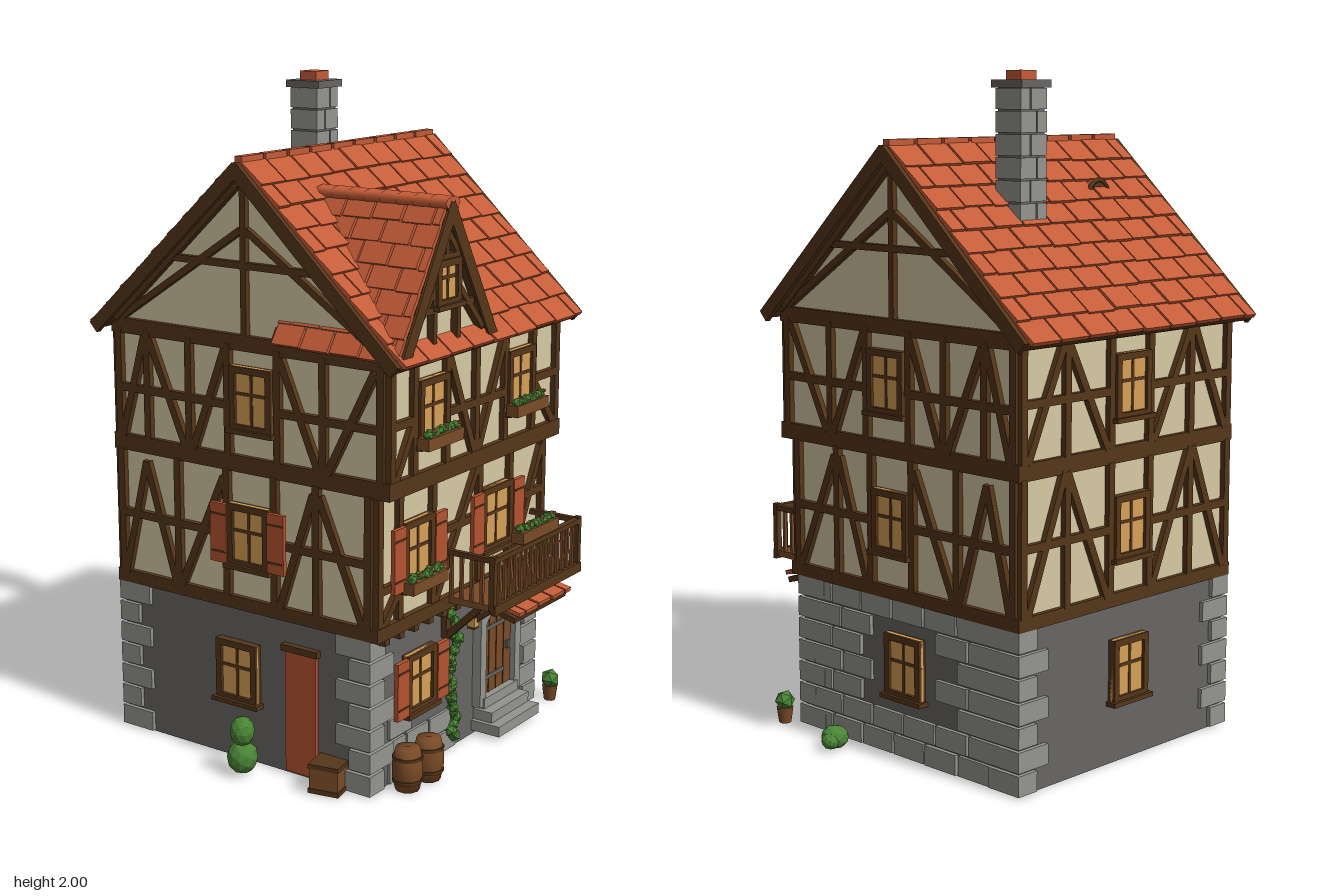
import * as THREE from 'three';
import { mergeGeometries } from 'three/addons/utils/BufferGeometryUtils.js';

const mat = (name, color) => Object.assign(new THREE.MeshStandardMaterial({ color }), { name });
const M = {
  tile: mat('terracotta', 0xc45c38), plaster: mat('plaster', 0xd6c9a3), timber: mat('darkTimber', 0x553619),
  stone: mat('lightStone', 0x94948f), mortar: mat('darkStone', 0x686664), glass: mat('warmGlass', 0xd6a055),
  wood: mat('wood', 0x7a4b27), leaf: mat('leaf', 0x4a8535), shutter: mat('shutterRed', 0xb5532f),
};
let seed = 7;
const rnd = () => (seed = (seed * 16807) % 2147483647) / 2147483647;

function put(parent, name, m, geo, x = 0, y = 0, z = 0, rx = 0, ry = 0, rz = 0) {
  const mesh = new THREE.Mesh(geo, m);
  mesh.name = name;
  mesh.position.set(x, y, z);
  mesh.rotation.set(rx, ry, rz);
  parent.add(mesh);
  return mesh;
}
const boxGeo = (w, h, d, x = 0, y = 0, z = 0, rx = 0) => new THREE.BoxGeometry(w, h, d).rotateX(rx).translate(x, y, z);
const box = (p, name, m, w, h, d, x, y, z, rx, ry, rz) => put(p, name, m, new THREE.BoxGeometry(w, h, d), x, y, z, rx, ry, rz);
function group(parent, name, x = 0, y = 0, z = 0, yaw = 0, pitch = 0) {
  const g = new THREE.Group();
  g.name = name;
  g.position.set(x, y, z);
  g.rotation.set(pitch, yaw, 0, 'YXZ');
  parent.add(g);
  return g;
}
// timber between two points on a wall
function beams(p, list, w = 0.024, z = 0.004) {
  for (const [x1, y1, x2, y2] of list)
    box(p, 'beam', M.timber, Math.hypot(x2 - x1, y2 - y1), w, 0.026, (x1 + x2) / 2, (y1 + y2) / 2, z, 0, 0, Math.atan2(y2 - y1, x2 - x1));
}
// faceted foliage clump
function clump(p, r, x, y, z, sy = 1, detail = 0) {
  const g = new THREE.IcosahedronGeometry(r, detail).scale(1, sy, 1);
  g.computeVertexNormals();
  put(p, 'foliage', M.leaf, g, x, y, z, 0, rnd() * 6, 0);
}
function flowerBox(p, x, y, z, w) {
  box(p, 'flowerBox', M.wood, w, 0.035, 0.04, x, y, z);
  for (let i = 0; i < 8; i++) {
    const u = x + (i - 3.5) * w / 8.5;
    clump(p, 0.016, u, y + 0.024, z + (rnd() - 0.5) * 0.015);
    if (i % 3 === 1) box(p, 'flower', M.tile, 0.008, 0.008, 0.008, u, y + 0.035, z + 0.012);
  }
}
function windowUnit(p, x, y, w, h, { shutters = false, flowers = false } = {}) {
  const g = group(p, 'window', x, y, 0.008);
  box(g, 'pane', M.glass, w, h, 0.008, 0, 0, 0.004);
  for (const s of [-1, 1]) {
    box(g, 'frameSide', M.timber, 0.02, h, 0.035, s * (w / 2 - 0.01), 0, 0);
    box(g, 'frameRail', M.timber, w, 0.02, 0.035, 0, s * (h / 2 - 0.01), 0);
    if (shutters) {
      box(g, 'shutter', M.shutter, 0.06, h - 0.01, 0.014, s * (w / 2 + 0.03), 0, 0.014);
      for (const t of [-0.3, 0.3]) box(g, 'batten', M.timber, 0.052, 0.006, 0.006, s * (w / 2 + 0.03), t * h, 0.02);
    }
  }
  box(g, 'mullion', M.timber, 0.01, h, 0.02, 0, 0, 0);
  box(g, 'glazingBar', M.timber, w, 0.01, 0.02, 0, 0.015, 0);
  box(g, 'sill', M.timber, w + 0.02, 0.014, 0.045, 0, -h / 2, 0.005);
  if (flowers) flowerBox(g, 0, -h / 2 + 0.015, 0.035, w + 0.03);
}
// roof pitch: local z runs down from the ridge, x along it
function roofPitch(p, name, x, y, z, yaw, run, rise, width, rows, tileW, barge = 0) {
  const len = Math.hypot(run, rise), step = len / rows, tiles = [];
  const g = group(p, name, x, y, z, yaw, Math.atan2(rise, run));
  box(g, 'roofBoards', M.timber, width, 0.018, len, 0, -0.009, len / 2);
  for (let r = 0; r < rows; r++)
    for (let a = -width / 2 - (r % 2) * tileW / 2; a < width / 2 - 0.01; a += tileW) {
      const lo = Math.max(a, -width / 2), hi = Math.min(a + tileW, width / 2);
      if (hi - lo < 0.02) continue;
      tiles.push(boxGeo(hi - lo - 0.007, 0.013, step * 1.1, (lo + hi) / 2, 0.009 + rnd() * 0.003, (r + 0.53) * step + rnd() * 0.006, -0.09));
    }
  put(g, 'roofTiles', M.tile, mergeGeometries(tiles));
  if (barge) for (const s of [-1, 1]) box(g, 'bargeBoard', M.timber, barge, 0.04, len, s * (width + barge) / 2, -0.01, len / 2);
  return g;
}
// arched outline standing on y = 0
function arch(path, w, h, rise) {
  path.moveTo(-w / 2, 0);
  path.lineTo(w / 2, 0);
  path.lineTo(w / 2, h - rise);
  path.quadraticCurveTo(w / 4, h, 0, h);
  path.quadraticCurveTo(-w / 4, h, -w / 2, h - rise);
  path.lineTo(-w / 2, 0);
  return path;
}
const extrude = (shape, depth) => new THREE.ExtrudeGeometry(shape, { depth, bevelEnabled: false });
const polygon = pts => new THREE.Shape(pts.map(q => new THREE.Vector2(...q)));

export function createModel() {
  const root = new THREE.Group();
  root.name = 'timberFramedHouse';

  // masses: stone ground floor, two jettied storeys, gable prism
  box(root, 'groundFloor', M.mortar, 0.9, 0.49, 0.915, 0, 0.245, -0.0725);
  box(root, 'middleStorey', M.plaster, 0.9, 0.44, 0.935, 0, 0.70, -0.0625);
  box(root, 'upperStorey', M.plaster, 0.9, 0.37, 0.975, 0, 1.095, -0.0425);
  const gable = extrude(polygon([[-0.445, 1.27], [0.53, 1.27], [0.53, 1.3], [0.04, 1.755], [-0.445, 1.3]]), 0.9);
  put(root, 'gable', M.plaster, gable.rotateY(Math.PI / 2).translate(-0.45, 0, 0));

  // stonework: corner quoins, block courses
  const stones = [], rowH = 0.48 / 7;
  for (let r = 0; r < 7; r++) {
    const y = (r + 0.5) * rowH, h = rowH - 0.008, long = r % 2;
    for (const sx of [-1, 1]) for (const sz of [-1, 1]) {
      const w = long ? 0.12 : 0.075, d = long ? 0.075 : 0.12;
      stones.push(boxGeo(w, h, d, sx * (0.463 - w / 2), y, sz > 0 ? 0.398 - d / 2 : -0.543 + d / 2));
    }
    for (let z = -0.43 - long * 0.045; z < 0.29; z += 0.135) {
      const c = z + 0.0675;
      if (y > 0.14 && y < 0.44 && c > -0.26 && c < 0.1) continue;
      stones.push(boxGeo(0.02, h, 0.127, 0.45 + rnd() * 0.004, y, c));
    }
    for (let x = -0.36; x < -0.02; x += 0.12)
      if (r < 2 || (x < -0.34 && r < 4)) stones.push(boxGeo(0.112, h, 0.02, x + 0.06 - long * 0.03, y, 0.384));
  }
  put(root, 'stoneBlocks', M.stone, mergeGeometries(stones));

  // half-timbered walls; u runs to the right as each wall is faced
  const wall = (name, x, z, yaw) => group(root, name, x, 0, z, yaw);
  const H = Math.PI / 2, lo = 0.51, mid = 0.9, up = 0.94, top = 1.27;
  const posts = (p, us, y0, y1) => beams(p, us.map(u => [u, y0, u, y1]));
  const f1 = wall('frontMiddleWall', 0, 0.405, 0), f2 = wall('frontUpperWall', 0, 0.445, 0), f0 = wall('frontStoneWall', 0, 0.385, 0);
  posts(f1, [-0.445, -0.345, -0.175, 0.075, 0.25, 0.445], lo, mid);
  beams(f1, [[0.065, 0.88, -0.165, lo], [0.265, lo, 0.435, 0.86], [-0.44, 0.62, -0.34, 0.62], [-0.165, 0.72, 0.07, 0.72], [0.25, 0.72, 0.44, 0.72], [-0.43, lo, -0.35, 0.6]]);
  posts(f2, [-0.445, -0.335, -0.17, -0.015, 0.145, 0.305, 0.445], up, top);
  beams(f2, [[-0.16, 1.25, -0.025, up], [0.135, 1.25, -0.005, up], [-0.44, 1.1, -0.33, 1.1], [-0.17, 1.09, 0.145, 1.09], [0.3, 1.1, 0.44, 1.1], [-0.43, up, -0.34, 1.09], [0.43, up, 0.31, 1.09]]);
  windowUnit(f0, -0.21, 0.285, 0.15, 0.185, { shutters: true });
  windowUnit(f1, -0.26, 0.695, 0.15, 0.2, { shutters: true, flowers: true });
  windowUnit(f1, 0.165, 0.695, 0.17, 0.2, { shutters: true });
  for (const u of [-0.25, 0.225]) windowUnit(f2, u, 1.115, 0.15, 0.19, { flowers: true });

  // side walls share one pattern, mirrored
  for (const s of [1, -1]) {
    const w = wall(s > 0 ? 'leftSideWall' : 'rightSideWall', s * 0.45, 0, s * H), m = l => l.map(([a, b, c, d]) => [s * a, b, s * c, d]);
    posts(w, [-0.39, -0.21, -0.06, 0.115, 0.3, 0.52].map(u => u * s), lo, mid);
    beams(w, m([[-0.22, 0.87, -0.375, lo], [-0.2, 0.87, -0.08, lo], [0.125, 0.87, 0.29, lo], [0.31, lo, 0.42, 0.87], [0.42, 0.87, 0.51, lo],
      [-0.39, 0.7, -0.06, 0.7], [0.115, 0.7, 0.52, 0.7]]));
    posts(w, [-0.43, -0.235, -0.075, 0.105, 0.25, 0.41, 0.52].map(u => u * s), up, top);
    beams(w, m([[-0.41, 1.25, -0.25, up], [-0.085, 1.25, -0.22, up], [0.115, 1.25, 0.235, up], [0.4, 1.25, 0.265, up], [0.42, 1.25, 0.51, up],
      [-0.43, 1.09, -0.075, 1.09], [0.105, 1.09, 0.52, 1.09]]));
    // gable framing
    beams(w, m([[-0.44, 1.29, 0.52, 1.29], [-0.23, 1.5, 0.31, 1.5], [0.04, 1.29, 0.04, 1.74], [-0.43, 1.3, 0.03, 1.6], [0.51, 1.3, 0.05, 1.6]]), 0.02);
    beams(w, m([[-0.445, 1.3, 0.04, 1.752], [0.53, 1.3, 0.04, 1.752]]), 0.03, 0.008);
    windowUnit(w, s * 0.08, 0.28, 0.15, 0.19);
    windowUnit(w, s * 0.03, 0.705, 0.15, 0.19, { shutters: s < 0 });
    windowUnit(w, s * 0.015, 1.115, 0.15, 0.19);
  }
  // back wall
  const b = wall('backWall', 0, -0.53, Math.PI);
  for (const [y0, y1] of [[lo, mid], [up, top]]) {
    posts(b, [-0.445, -0.27, -0.085, 0.085, 0.27, 0.445], y0, y1);
    const c = (y0 + y1) / 2;
    for (const s of [-1, 1]) beams(b, [[s * 0.27, y1, s * 0.1, y0], [s * 0.28, y1, s * 0.43, y0], [s * 0.085, c, s * 0.445, c]]);
  }
  for (const [y, h] of [[0.28, 0.19], [0.705, 0.19], [1.115, 0.19]]) windowUnit(b, 0, y, 0.15, h);
  // floor plates wrap the whole house
  for (const [y, h, front] of [[0.495, 0.04, 0.425], [0.92, 0.05, 0.463], [1.268, 0.028, 0.46]])
    box(root, 'floorPlate', M.timber, 0.93, h, front + 0.545, 0, y, (front - 0.545) / 2);
  for (let i = 0; i < 12; i++) box(root, 'joistEnd', M.timber, 0.024, 0.024, 0.05, -0.41 + i * 0.075, 0.466, 0.395);

  // main roof and ridge
  roofPitch(root, 'frontRoof', 0, 1.785, -0.04, 0, 0.545, 0.51, 0.97, 9, 0.115, 0.016);
  roofPitch(root, 'backRoof', 0, 1.785, -0.04, Math.PI, 0.553, 0.51, 0.97, 9, 0.115, 0.016);
  for (let i = 0; i < 9; i++) box(root, 'ridgeTile', M.tile, 0.096, 0.018, 0.026, -0.432 + i * 0.108, 1.799, -0.04);

  // dormer
  const d = group(root, 'dormer', -0.23, 0, 0);
  put(d, 'dormerWall', M.plaster, extrude(polygon([[-0.215, 1.29], [0.215, 1.29], [0, 1.67]]), 0.37), 0, 0, 0.1);
  for (const s of [-1, 1]) roofPitch(d, 'dormerRoof', 0, 1.695, 0.285, s * H, 0.235, 0.405, 0.43, 7, 0.1, 0.008);
  for (let i = 0; i < 8; i++)
    put(d, 'dormerRidgeTile', M.tile, new THREE.CylinderGeometry(0.037, 0.04, 0.054, 8).scale(1, 1, 0.5), 0, 1.695, 0.094 + i * 0.055, H);
  const df = group(d, 'dormerFraming', 0, 0, 0.475);
  beams(df, [[-0.22, 1.3, 0.22, 1.3], [-0.14, 1.405, 0.14, 1.405], [-0.08, 1.545, 0.08, 1.545], [0, 1.54, 0, 1.67]], 0.018);
  for (const s of [-1, 1]) beams(df, [[s * 0.225, 1.29, 0, 1.685], [s * 0.06, 1.3, s * 0.06, 1.55], [s * 0.19, 1.32, s * 0.06, 1.46], [s * 0.1, 1.5, 0, 1.62]], 0.018);
  windowUnit(df, 0, 1.475, 0.12, 0.13);

  // roof vent
  put(root, 'ventHood', M.tile, new THREE.CylinderGeometry(0.043, 0.043, 0.12, 10), -0.23, 1.635, -0.145, H);
  put(root, 'ventArch', M.timber, new THREE.TorusGeometry(0.042, 0.008, 5, 10, Math.PI), -0.23, 1.635, -0.206);
  put(root, 'ventOpening', M.timber, new THREE.CircleGeometry(0.04, 10), -0.23, 1.635, -0.2065, 0, Math.PI);
  box(root, 'ventSill', M.timber, 0.11, 0.012, 0.018, -0.23, 1.637, -0.205);

  // chimney
  const ch = group(root, 'chimney', 0.145, 0, -0.243);
  box(ch, 'chimneyCore', M.mortar, 0.098, 0.45, 0.09, 0, 1.73, 0);
  for (let i = 0; i < 7; i++) for (const s of [-1, 1]) {
    const w = (i % 2 ? s > 0 : s < 0) ? 0.064 : 0.038;
    box(ch, 'chimneyBlock', M.stone, w, 0.06, 0.1, s * (0.0535 - w / 2), 1.53 + i * 0.065, 0);
  }
  box(ch, 'chimneyCap', M.mortar, 0.122, 0.022, 0.122, 0, 1.962, 0);
  box(ch, 'chimneyPot', M.tile, 0.064, 0.03, 0.06, 0, 1.985, 0);

  // front door with surround, straps and steps
  const dr = group(root, 'frontDoor', 0.22, 0.09, 0.385);
  const surround = arch(new THREE.Shape(), 0.235, 0.345, 0.06);
  surround.holes.push(arch(new THREE.Path(), 0.17, 0.315, 0.05));
  put(dr, 'doorSurround', M.stone, extrude(surround, 0.03));
  put(dr, 'doorLeaf', M.wood, extrude(arch(new THREE.Shape(), 0.172, 0.317, 0.05), 0.012));
  for (const x of [-0.043, 0, 0.043]) box(dr, 'plankGap', M.timber, 0.004, 0.28, 0.004, x, 0.145, 0.012);
  for (const y of [0.08, 0.24]) box(dr, 'strapHinge', M.mortar, 0.12, 0.012, 0.006, -0.02, y, 0.014);
  box(dr, 'handle', M.mortar, 0.012, 0.025, 0.015, 0.06, 0.155, 0.016);
  for (let i = 0; i < 3; i++) box(root, 'step', M.stone, 0.2 + i * 0.02, 0.033, 0.04 + i * 0.033, 0.22, 0.1 - i * 0.035, 0.4 + i * 0.0165);
  // plank door in the side wall
  box(root, 'sideDoor', M.shutter, 0.02, 0.38, 0.11, -0.452, 0.2, 0.15);
  box(root, 'sideDoorLintel', M.timber, 0.035, 0.02, 0.13, -0.452, 0.395, 0.15);

  // tiled canopy over the door
  roofPitch(root, 'doorCanopy', 0.22, 0.468, 0.4, 0, 0.155, 0.045, 0.31, 2, 0.078);
  for (const x of [0.08, 0.36]) box(root, 'canopyBracket', M.timber, 0.018, 0.13, 0.018, x, 0.405, 0.435, 0.9);

  // balcony
  const bal = group(root, 'balcony', 0.153, 0, 0);
  box(bal, 'balconyFloor', M.wood, 0.5, 0.02, 0.175, 0, 0.503, 0.49);
  box(bal, 'balconyFascia', M.timber, 0.51, 0.03, 0.014, 0, 0.5, 0.578);
  box(bal, 'frontRail', M.timber, 0.51, 0.016, 0.02, 0, 0.65, 0.572);
  for (let i = 0; i <= 16; i++) box(bal, 'baluster', M.wood, 0.01, 0.14, 0.01, -0.245 + i * 0.49 / 16, 0.58, 0.572);
  for (const s of [-1, 1]) {
    box(bal, 'sideRail', M.timber, 0.016, 0.016, 0.17, s * 0.247, 0.65, 0.49);
    box(bal, 'cornerPost', M.timber, 0.018, 0.165, 0.018, s * 0.247, 0.58, 0.572);
    for (let i = 0; i < 4; i++) box(bal, 'baluster', M.wood, 0.01, 0.14, 0.01, s * 0.247, 0.58, 0.43 + i * 0.035);
    box(bal, 'wallBrace', M.timber, 0.02, 0.17, 0.02, s * 0.22, 0.43, 0.455, 0.8);
    box(bal, 'wallPost', M.timber, 0.022, 0.12, 0.02, s * 0.22, 0.43, 0.395);
  }
  flowerBox(bal, 0, 0.68, 0.567, 0.21);

  // pots, barrels, crate, lantern, plants
  for (const [x, y, z] of [[0.35, 0.513, 0.48], [0.49, 0, 0.44]]) {
    put(root, 'plantPot', M.wood, new THREE.CylinderGeometry(0.026, 0.019, 0.05, 8), x, y + 0.025, z);
    clump(root, 0.032, x, y + 0.07, z);
  }
  const stave = [[0, 0], [0.036, 0], [0.045, 0.045], [0.045, 0.085], [0.036, 0.13], [0, 0.13]].map(q => new THREE.Vector2(...q));
  for (const [x, z] of [[-0.34, 0.445], [-0.245, 0.455]]) {
    put(root, 'barrel', M.wood, new THREE.LatheGeometry(stave, 10), x, 0, z);
    for (const y of [0.03, 0.1]) put(root, 'barrelHoop', M.timber, new THREE.CylinderGeometry(0.0455, 0.0455, 0.01, 10), x, y, z);
  }
  box(root, 'crate', M.wood, 0.08, 0.09, 0.09, -0.485, 0.046, 0.27, 0, 0.2);
  for (const y of [0.01, 0.085]) box(root, 'crateBand', M.timber, 0.086, 0.014, 0.096, -0.485, y, 0.27, 0, 0.2);
  box(root, 'lantern', M.timber, 0.024, 0.05, 0.024, 0.07, 0.385, 0.405);
  box(root, 'lanternGlow', M.glass, 0.026, 0.028, 0.026, 0.07, 0.382, 0.405);
  clump(root, 0.047, -0.54, 0.055, -0.005, 1.1, 1);
  clump(root, 0.037, -0.54, 0.135, -0.005, 1.25, 1);
  clump(root, 0.042, 0.54, 0.035, 0.145, 0.85, 1);
  clump(root, 0.028, 0.565, 0.03, 0.135, 0.9, 1);
  for (let i = 0; i < 24; i++)
    clump(root, 0.015 + rnd() * 0.01, -0.035 + Math.sin(i * 0.45) * 0.016 + (rnd() - 0.5) * 0.03, 0.045 + i * 0.018, 0.398);
  return root;
}
